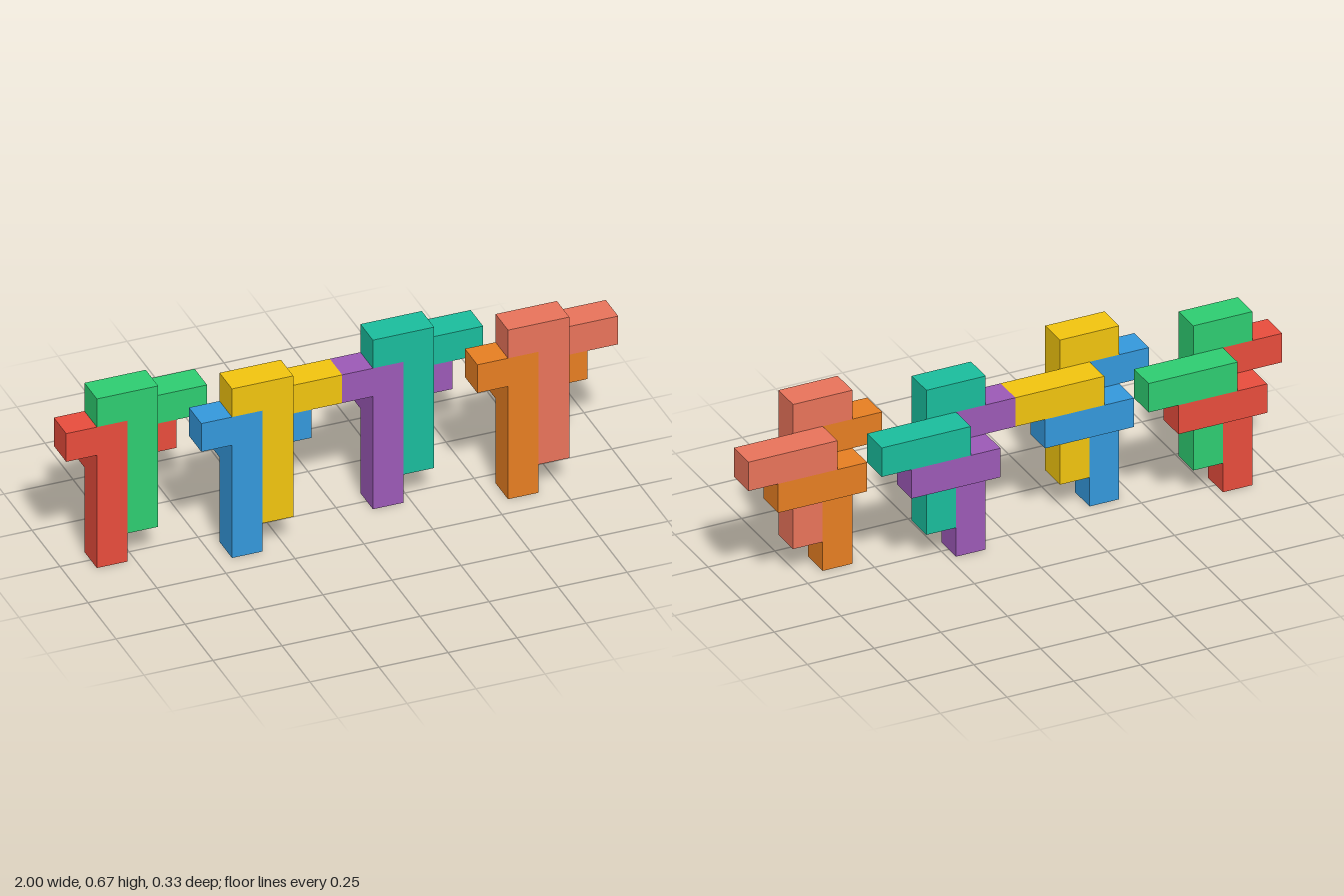
import * as THREE from 'three';

const U = 1 / 9; // edge of one cube cell

// Hooked leg: five cells tall with one cell jutting out at the top
function hookGeometry() {
  const outline = [[0, 0], [1, 0], [1, 5], [-1, 5], [-1, 4], [0, 4]];
  const shape = new THREE.Shape(outline.map(([x, y]) => new THREE.Vector2(x * U, y * U)));
  return new THREE.ExtrudeGeometry(shape, { depth: U, bevelEnabled: false }).translate(0, 0, -U / 2);
}

// Three-cell bar lying behind the leg
function barGeometry() {
  return new THREE.BoxGeometry(3 * U, U, U).translate(1.5 * U, 3.5 * U, -U);
}

export function createModel() {
  const model = new THREE.Group();
  model.name = 'interlockingBlocks';
  const hook = hookGeometry();
  const bar = barGeometry();

  function addPiece(name, color, x, y, z) {
    const material = new THREE.MeshStandardMaterial({ color, flatShading: true });
    const piece = new THREE.Group();
    piece.name = name;
    for (const [part, geometry] of [['hookedLeg', hook], ['backBar', bar]]) {
      const mesh = new THREE.Mesh(geometry, material);
      mesh.name = part;
      piece.add(mesh);
    }
    piece.position.set(x * U, y * U, z * U);
    model.add(piece);
  }

  // Four pairs; the second piece of each sits one cell over and one cell up
  const pairs = [
    [-8, 0, ['red', 0xe74c3c], ['green', 0x2ecc71]],
    [-4, 1, ['blue', 0x3498db], ['yellow', 0xf1c40f]],
    [1, 0, ['purple', 0x9b59b6], ['teal', 0x1abc9c]],
    [5, 1, ['orange', 0xe67e22], ['coral', 0xe8735a]],
  ];
  for (const [x, z, lower, upper] of pairs) {
    addPiece(lower[0] + 'Piece', lower[1], x, 0, z);
    addPiece(upper[0] + 'Piece', upper[1], x + 1, 1, z);
  }
  return model;
}
